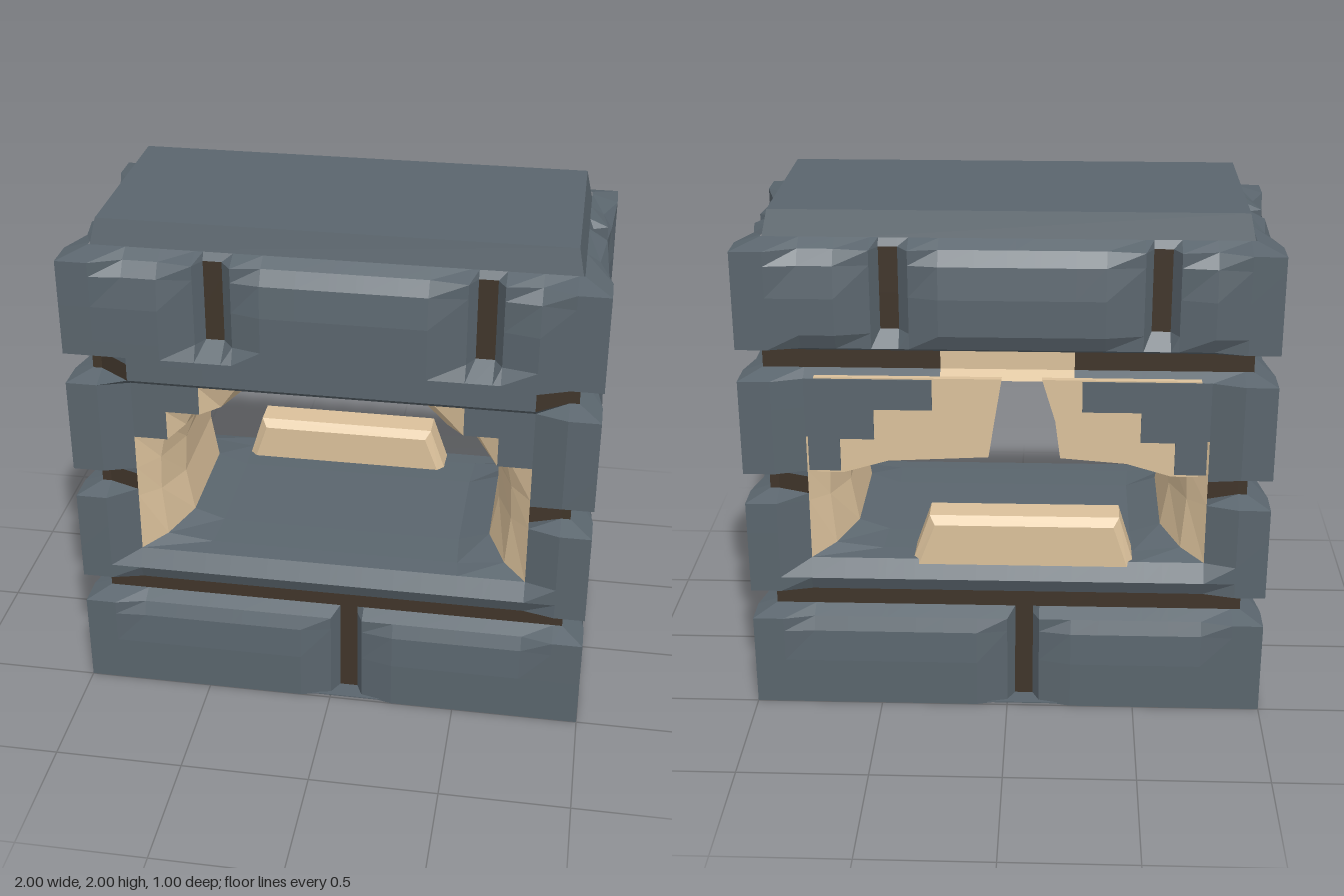
import * as THREE from 'three';

const stone = new THREE.MeshStandardMaterial({ color: 0x5a656d });
stone.name = 'slate stone';
const mortar = new THREE.MeshStandardMaterial({ color: 0x40352a });
mortar.name = 'dark mortar';
const rubble = new THREE.MeshStandardMaterial({ color: 0xdbc19b });
rubble.name = 'broken sandstone';
for (const m of [stone, mortar, rubble]) m.flatShading = true;

const DEPTH = 0.085; // how far the mortar sits behind the bricks
const ROWS = [0, 0.19, 0.32, 0.375, 0.405, 0.475, 0.5, 0.56, 0.63, 0.75, 0.875, 0.905, 0.975, 1,
  1.14, 1.26, 1.375, 1.405, 1.475, 1.5, 1.56, 1.7, 1.82, 1.875, 1.905];
const LONG = [-1, -0.88, -0.76, -0.63, -0.5, -0.47, -0.4, -0.36, -0.25, -0.12, 0, 0.03, 0.1, 0.125,
  0.25, 0.36, 0.5, 0.53, 0.6, 0.63, 0.76, 0.88, 1];
const SHORT = [-0.5, -0.38, -0.2, 0, 0.03, 0.1, 0.125, 0.25, 0.38, 0.5];

const between = (v, a, b) => v > a - 1e-6 && v < b + 1e-6;

// Collects four-cornered faces by material and turns them into meshes
function makeCollector() {
  const buckets = new Map();
  return {
    quad(mat, a, b, c, d) {
      if (!buckets.has(mat)) buckets.set(mat, []);
      buckets.get(mat).push(...a, ...b, ...c, ...a, ...c, ...d);
    },
    group(name) {
      const g = new THREE.Group();
      g.name = name;
      for (const [mat, list] of buckets) {
        const geo = new THREE.BufferGeometry();
        geo.setAttribute('position', new THREE.Float32BufferAttribute(list, 3));
        geo.computeVertexNormals();
        const mesh = new THREE.Mesh(geo, mat);
        mesh.name = name + ' ' + mat.name;
        g.add(mesh);
      }
      return g;
    },
  };
}

// Horizontal joints lie under each course of bricks
const inJoint = (y) => [0.375, 0.875, 1.375].some((b) => between(y, b + 0.02, b + 0.11));
// A joint runs across the whole face, or only at its ends beside the opening
const runsAcross = (kind, y) => kind === 'side' || y < 0.6 || (kind === 'back' && y > 1.3);

// Upright joints, staggered from course to course
function inUpright(kind, s, y) {
  if (kind === 'side') {
    return between(s, 0.03, 0.1) && (between(y, 0.5, 0.875) || between(y, 1.5, 1.875));
  }
  if (y < 0.4) return between(s, 0.03, 0.1);
  return between(y, 1.55, 1.875) && (between(s, -0.47, -0.4) || between(s, 0.53, 0.6));
}

// Recess of a wall point behind the outermost surface
function recess(kind, half, s, y) {
  const a = Math.abs(s);
  if (y > 1.9) return 0.1;
  if (kind !== 'side' && between(y, 0.63, 1.375) && a < 0.77) return 0.04;
  if (inJoint(y)) return runsAcross(kind, y) || a > 0.8 ? DEPTH : 0;
  if (inUpright(kind, s, y)) return DEPTH;
  if (a > half - 0.15) return 0;
  if (inUpright(kind, s + 0.04, y) || inUpright(kind, s - 0.04, y)) return 0.03;
  if (y > 1.87) return 0.05;
  if (y > 1.8) return 0.015;
  const edge = [0.375, 0.5, 0.875, 1, 1.375, 1.5].some((b) => Math.abs(y - b) < 0.01);
  if (edge && runsAcross(kind, y)) return 0.03;
  return Math.abs(y - 0.32) < 0.01 ? 0.008 : 0;
}

// Stepped outline of the broken opening
function inOpening(s, y) {
  const a = Math.abs(s);
  return y > 0.63 && ((a < 0.76 && y < 1.14) || (a < 0.63 && y < 1.26) || (a < 0.5 && y < 1.375));
}

// One brick face of the wall
function brickFace(name, kind, cols, half, offset, turn) {
  const out = makeCollector();
  const point = (s, y) => {
    const limit = y > 1.9 ? half - 0.1 : inJoint(y) ? half - DEPTH : half;
    return [THREE.MathUtils.clamp(s, -limit, limit), y, offset - recess(kind, half, s, y)];
  };
  for (let j = 0; j < ROWS.length - 1; j++) {
    for (let i = 0; i < cols.length - 1; i++) {
      const [s0, s1, y0, y1] = [cols[i], cols[i + 1], ROWS[j], ROWS[j + 1]];
      const s = (s0 + s1) / 2, y = (y0 + y1) / 2;
      if (kind !== 'side' && inOpening(s, y)) continue;
      let mat = stone;
      if (inJoint(y) && (runsAcross(kind, y) || Math.abs(s) > 0.76)) mat = mortar;
      if (inUpright(kind, s, y)) mat = mortar;
      if (kind === 'back' && between(y, 1.375, 1.475) && Math.abs(s) < 0.25) mat = rubble;
      out.quad(mat, point(s0, y0), point(s1, y0), point(s1, y1), point(s0, y1));
    }
  }
  const g = out.group(name);
  g.rotation.y = turn;
  return g;
}

// Inner walls of the opening: stepped at both faces, a rounded arch inside
function tunnel() {
  const outer = [[0.5, 0.63], [0.76, 0.63], [0.76, 0.875], [0.76, 1], [0.76, 1.14], [0.63, 1.14],
    [0.63, 1.26], [0.5, 1.26], [0.5, 1.375], [0.25, 1.375]];
  const inner = [[0.48, 0.64], [0.6, 0.68], [0.63, 0.86], [0.62, 1.02], [0.57, 1.15], [0.53, 1.19],
    [0.46, 1.23], [0.38, 1.25], [0.27, 1.31], [0.18, 1.365]];
  const full = (half) => [...half, ...half.map(([x, y]) => [-x, y]).reverse()];
  const A = full(outer), B = full(inner), n = A.length;
  const sections = [[0.46, 0], [0.38, 0.55], [0.22, 1], [-0.22, 1], [-0.38, 0.55], [-0.46, 0]];
  const out = makeCollector();
  const point = (i, [z, t]) => [
    THREE.MathUtils.lerp(A[i % n][0], B[i % n][0], t),
    THREE.MathUtils.lerp(A[i % n][1], B[i % n][1], t), z];
  for (let k = 0; k < sections.length - 1; k++) {
    for (let i = 0; i < n; i++) {
      const floor = i === 0 || i >= n - 2;
      const lintel = i === outer.length - 1 && k < 2;
      out.quad(floor || lintel ? stone : rubble, point(i, sections[k]), point(i + 1, sections[k]),
        point(i + 1, sections[k + 1]), point(i, sections[k + 1]));
    }
  }
  return out.group('opening');
}

// Flat outline pulled out along z
function slab(name, mat, pts, z0, z1, bevel = 0) {
  const shape = new THREE.Shape(pts.map(([x, y]) => new THREE.Vector2(x, y)));
  const geo = new THREE.ExtrudeGeometry(shape, {
    depth: z1 - z0 - 2 * bevel, bevelEnabled: bevel > 0, bevelSize: bevel, bevelThickness: bevel,
    bevelOffset: -bevel, bevelSegments: 1,
  });
  geo.translate(0, 0, z0 + bevel);
  const mesh = new THREE.Mesh(geo, mat);
  mesh.name = name;
  return mesh;
}

export function createModel() {
  const model = new THREE.Group();
  model.name = 'ruined wall block';

  // Four brick faces
  model.add(
    brickFace('front wall', 'front', LONG, 1, 0.5, 0),
    brickFace('back wall', 'back', LONG, 1, 0.5, Math.PI),
    brickFace('left wall', 'side', SHORT, 0.5, 1, Math.PI / 2),
    brickFace('right wall', 'side', SHORT, 0.5, 1, -Math.PI / 2),
    tunnel(),
  );

  // Broken bricks left standing in the back of the opening
  model.add(
    slab('broken brick right', rubble, [[-0.72, 1], [-0.62, 1], [-0.45, 1.05], [-0.2, 1.07],
      [-0.18, 1.22], [-0.13, 1.385], [-0.72, 1.385]], -0.47, -0.3),
    slab('broken brick left', rubble, [[0.72, 1], [0.72, 1.385], [0.02, 1.385], [0.05, 1.2],
      [0.07, 1.07], [0.45, 1.05], [0.62, 1]], -0.47, -0.3),
    slab('broken sill brick', rubble, [[-0.5, 0.58], [0.38, 0.58], [0.3, 0.81], [-0.43, 0.81]],
      -0.47, -0.3, 0.03),
  );
  // Unbroken brick skin, stepping down towards the jambs
  for (const side of [-1, 1]) {
    model.add(slab('brick skin', stone, [[0.75, 1.01], [0.63, 1.01], [0.63, 1.14], [0.5, 1.14],
      [0.5, 1.26], [0.28, 1.26], [0.28, 1.38], [0.75, 1.38]].map(([x, y]) => [x * side, y]),
    -0.477, -0.469));
  }

  // Coping on top, slightly tapered
  const capGeo = new THREE.BoxGeometry(1.8, 0.12, 0.8);
  const p = capGeo.attributes.position;
  for (let i = 0; i < p.count; i++) {
    if (p.getY(i) > 0) p.setXYZ(i, Math.sign(p.getX(i)) * 0.875, 0.06, Math.sign(p.getZ(i)) * 0.375);
  }
  const cap = new THREE.Mesh(capGeo, stone);
  cap.name = 'coping';
  cap.position.y = 1.94;
  model.add(cap);

  // Underside: stone rim around a mortar bed
  const rim = new THREE.Mesh(new THREE.BoxGeometry(1.99, 0.004, 0.98), stone);
  rim.name = 'base rim';
  rim.position.y = 0.005;
  const bed = new THREE.Mesh(new THREE.BoxGeometry(1.8, 0.004, 0.8), mortar);
  bed.name = 'mortar bed';
  bed.position.y = 0.002;
  model.add(rim, bed);
  return model;
}
